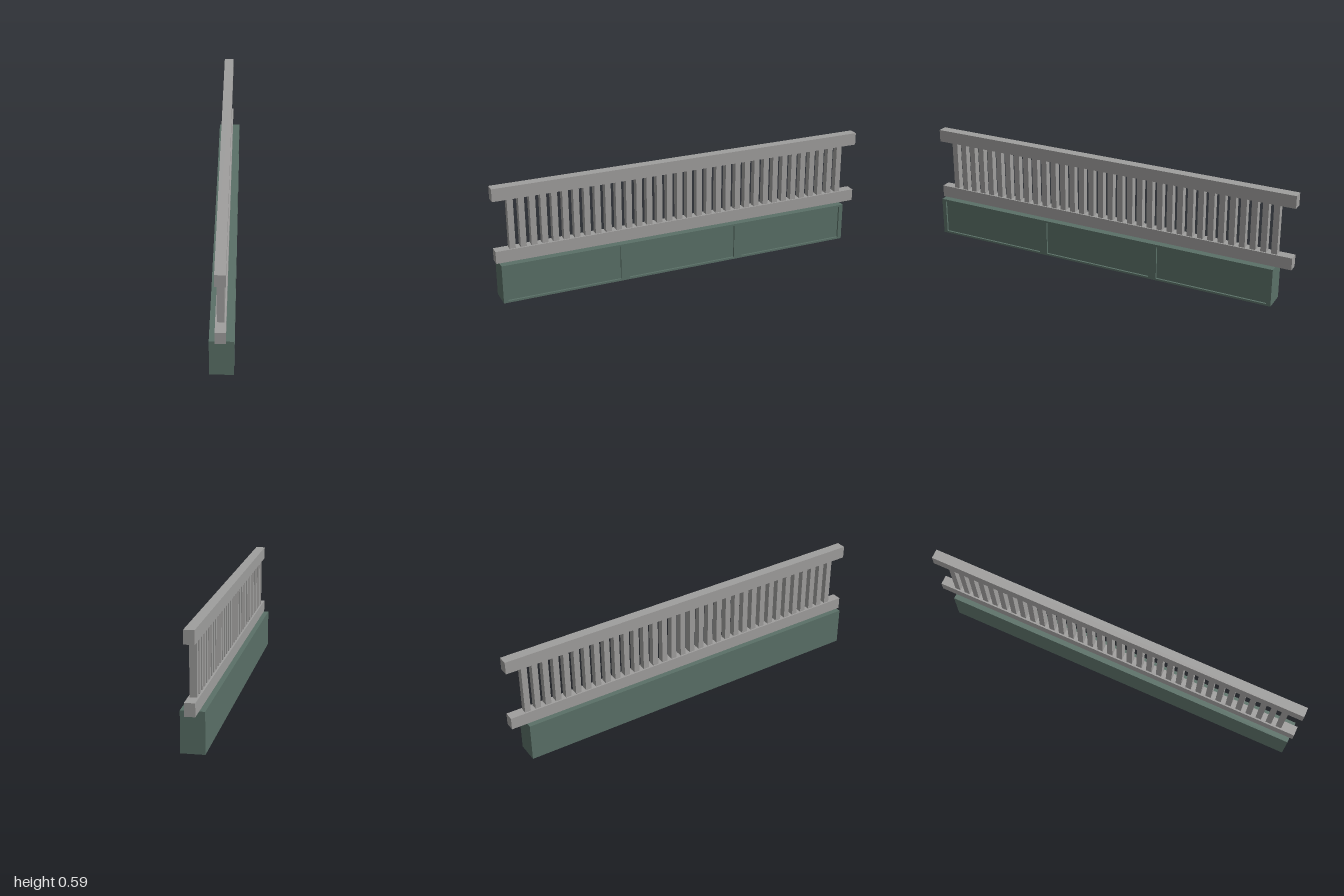
import * as THREE from 'three';

const stone = new THREE.MeshStandardMaterial({ color: 0x9f9e9d });
stone.name = 'grey stone';
const green = new THREE.MeshStandardMaterial({ color: 0x5a7067 });
green.name = 'dull green';

// Box given by its minimum and maximum corners
function block(name, material, [x0, y0, z0], [x1, y1, z1]) {
  const mesh = new THREE.Mesh(new THREE.BoxGeometry(x1 - x0, y1 - y0, z1 - z0), material);
  mesh.position.set((x0 + x1) / 2, (y0 + y1) / 2, (z0 + z1) / 2);
  mesh.name = name;
  return mesh;
}

function rectangle(path, x0, y0, x1, y1) {
  path.moveTo(x0, y0);
  path.lineTo(x1, y0);
  path.lineTo(x1, y1);
  path.lineTo(x0, y1);
  path.closePath();
  return path;
}

// Green plinth with three recessed panels on its +x side
function createPlinth() {
  const plinth = new THREE.Group();
  plinth.name = 'plinth';
  const half = 0.057, height = 0.2, back = -0.92, front = 0.985, recess = 0.01;
  plinth.add(block('plinthBody', green, [-half, 0, back], [half - recess, height, front]));

  const length = front - back, panel = length / 3, stile = 0.022, rail = 0.01;
  const outline = rectangle(new THREE.Shape(), -length / 2, 0, length / 2, height);
  for (let i = 0; i < 3; i++) {
    const start = -length / 2 + i * panel;
    outline.holes.push(rectangle(new THREE.Path(), start + stile, rail, start + panel - stile, height - rail));
  }
  const geometry = new THREE.ExtrudeGeometry(outline, { depth: recess, bevelEnabled: false });
  geometry.rotateY(Math.PI / 2);
  const frame = new THREE.Mesh(geometry, green);
  frame.name = 'panelFrame';
  frame.position.set(half - recess, 0, (back + front) / 2);
  plinth.add(frame);
  return plinth;
}

// Row of square balusters between the rails
function createBalusters(bottom, top) {
  const row = new THREE.Group();
  row.name = 'balusters';
  const count = 34, first = 0.912, last = -0.906, half = 0.015;
  for (let i = 0; i < count; i++) {
    const z = first + (last - first) * i / (count - 1);
    row.add(block('baluster', stone, [-0.022, bottom, z - half], [0.012, top, z + half]));
  }
  return row;
}

export function createModel() {
  const model = new THREE.Group();
  model.name = 'balustrade';
  model.add(
    createPlinth(),
    block('bottomRail', stone, [-0.03, 0.2, -1], [0.02, 0.263, 1]),
    createBalusters(0.263, 0.522),
    block('topRail', stone, [-0.03, 0.522, -1], [0.02, 0.587, 1])
  );
  return model;
}
